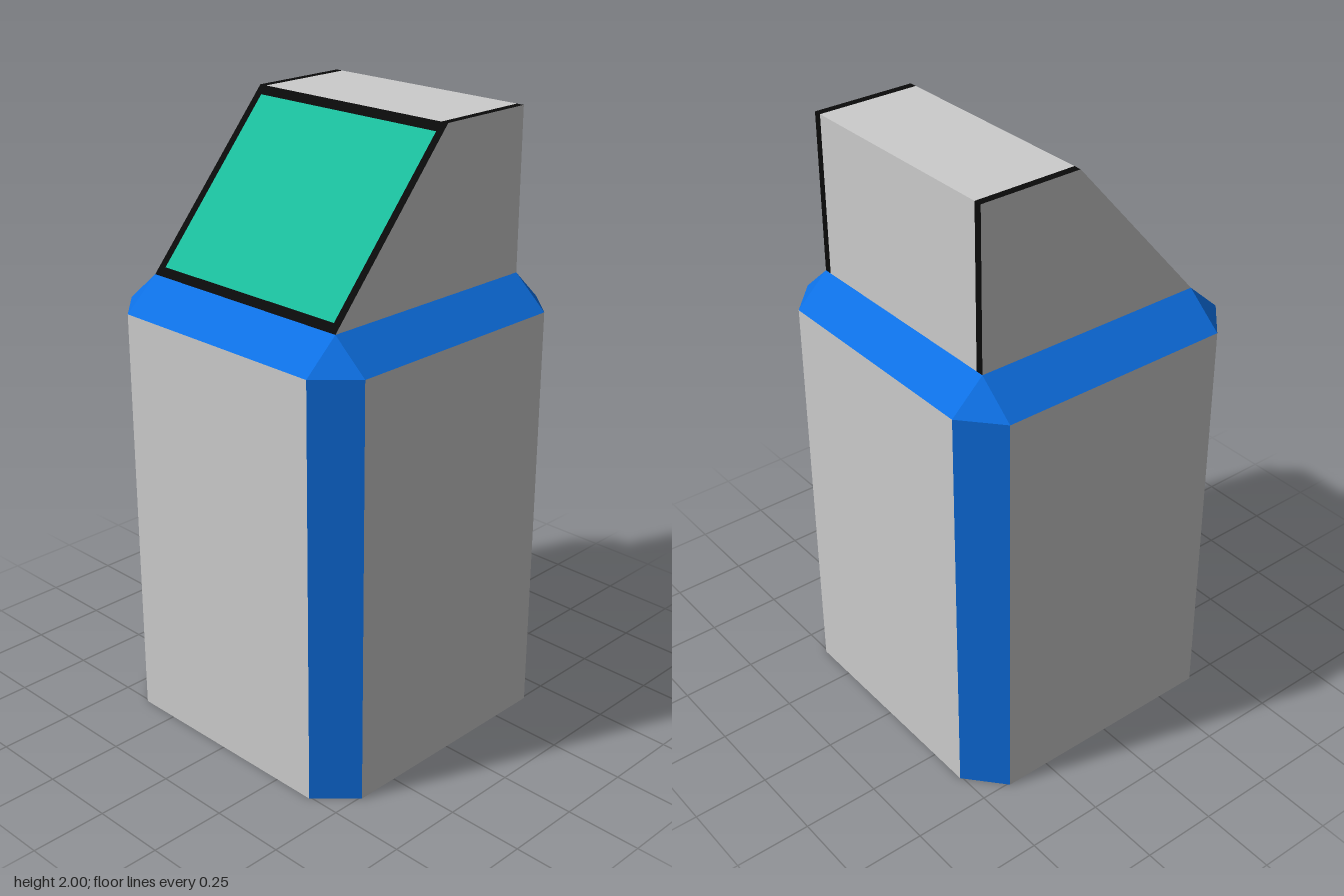
import * as THREE from 'three';

const GREY = 0xcccccc, BLUE = 0x0d70e4, BLACK = 0x0a0a0a, GREEN = 0x1abc9c;

// One flat mesh from convex faces, corners counter-clockwise from outside
function facets(name, color, faces) {
  const pos = [];
  for (const f of faces)
    for (let i = 1; i < f.length - 1; i++) pos.push(...f[0], ...f[i], ...f[i + 1]);
  const geo = new THREE.BufferGeometry();
  geo.setAttribute('position', new THREE.Float32BufferAttribute(pos, 3));
  geo.computeVertexNormals();
  const mesh = new THREE.Mesh(geo, new THREE.MeshStandardMaterial({ color, flatShading: true }));
  mesh.name = name;
  return mesh;
}

export function createModel() {
  const group = new THREE.Group();
  group.name = 'kiosk';
  const H = 0.507, x0 = -0.393, x1 = 0.4, z0 = -0.385, z1 = 0.392;
  const yShoulder = 1.38, yNeck = 1.482, yTop = 2;

  // Chamfered footprint and the smaller rectangle at the neck
  const foot = [[H, z1], [H, z0], [x1, -H], [x0, -H], [-H, z0], [-H, z1], [x0, H], [x1, H]];
  const neck = [[x1, z1], [x1, z0], [x0, z0], [x0, z1]];
  const at = ([x, z], y) => [x, y, z];
  const neckOf = (i) => neck[Math.ceil(i / 2) % 4];

  const panels = [], posts = [], bevel = [];
  for (let i = 0; i < 8; i++) {
    const j = (i + 1) % 8, a = foot[i], b = foot[j];
    (i % 2 ? posts : panels).push([at(a, 0), at(b, 0), at(b, yShoulder), at(a, yShoulder)]);
    const ring = [at(a, yShoulder), at(b, yShoulder), at(neckOf(j), yNeck)];
    if (i % 2 === 0) ring.push(at(neckOf(i), yNeck)); // odd sides close to a corner triangle
    bevel.push(ring);
  }
  panels.push(foot.map((p) => at(p, 0)).reverse()); // underside
  group.add(facets('bodyPanels', GREY, panels));
  group.add(facets('cornerPosts', BLUE, posts));
  group.add(facets('shoulderBevel', BLUE, bevel));

  // Head: slope, roof and side wall swept along z
  const A = [x0, yNeck], B = [0.06, yTop], C = [x1, yTop], D = [x1, yNeck];
  const zb = z0 + 0.026, zf = z1 - 0.026; // inner borders of the trim
  const strip = (P, Q, t0, t1, za, zc) => {
    const p = (t) => [P[0] + (Q[0] - P[0]) * t, P[1] + (Q[1] - P[1]) * t];
    const a = p(t0), b = p(t1);
    return [[...a, zc], [...b, zc], [...b, za], [...a, za]];
  };
  const trim = [];
  for (const [P, Q] of [[A, B], [B, C], [C, D]])
    trim.push(strip(P, Q, 0, 1, z0, zb), strip(P, Q, 0, 1, zf, z1));
  trim.push(strip(A, B, 0, 0.045, zb, zf), strip(A, B, 0.953, 1, zb, zf));
  const cheek = [A, D, C, B];
  group.add(facets('headShell', GREY, [
    strip(B, C, 0, 1, zb, zf),
    strip(C, D, 0, 1, zb, zf),
    cheek.map((p) => [...p, z1]),
    cheek.map((p) => [...p, z0]).reverse(),
  ]));
  group.add(facets('headTrim', BLACK, trim));
  group.add(facets('screen', GREEN, [strip(A, B, 0.045, 0.953, zb, zf)]));
  return group;
}
